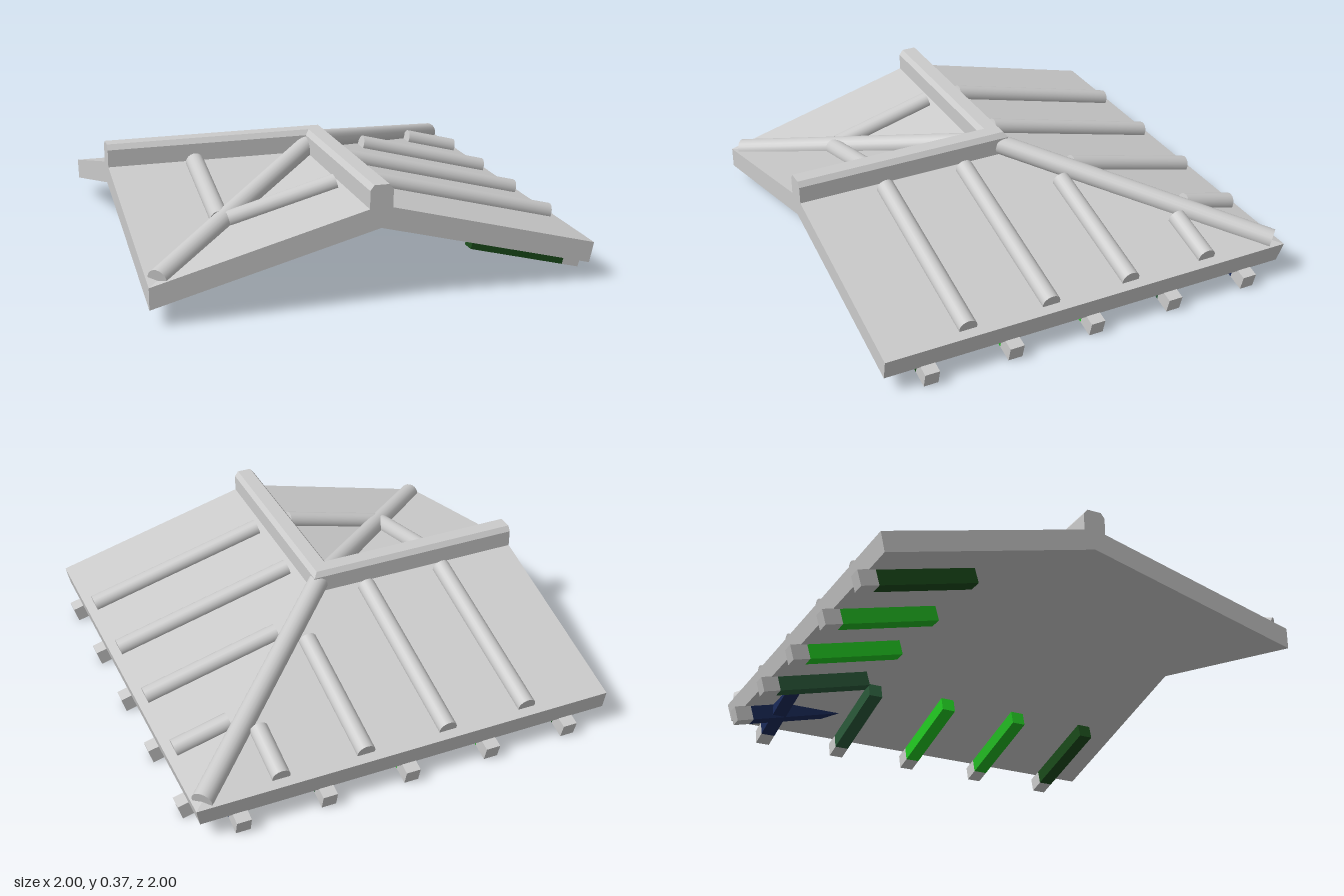
import * as THREE from 'three';

const grey = new THREE.MeshStandardMaterial({ color: 0xcccccc });
const tint = (color) => new THREE.MeshStandardMaterial({ color });

// Plan coordinates: s runs along a ridge, a runs down the slope (a < 0 = front slope)
const at = (side, s, a, y) => new THREE.Vector3(side * (s + a) / 2, y, (s - a) / 2);
const topY = (a) => 0.311 - 0.186 * Math.abs(a);
const underY = (a) => 0.24 - 0.184 * Math.abs(a);

// Convex solid between two matching loops, every face turned outward
function loft(loopA, loopB) {
  const n = loopA.length;
  const centre = new THREE.Vector3();
  [...loopA, ...loopB].forEach((p) => centre.addScaledVector(p, 0.5 / n));
  const pos = [];
  const tri = (p, q, r) => {
    const normal = q.clone().sub(p).cross(r.clone().sub(p));
    const outward = normal.dot(p.clone().sub(centre)) > 0;
    for (const v of outward ? [p, q, r] : [p, r, q]) pos.push(v.x, v.y, v.z);
  };
  for (let i = 0; i < n; i++) {
    const j = (i + 1) % n;
    tri(loopA[i], loopA[j], loopB[j]);
    tri(loopA[i], loopB[j], loopB[i]);
    if (i > 0 && i < n - 1) {
      tri(loopA[0], loopA[i], loopA[i + 1]);
      tri(loopB[0], loopB[i], loopB[i + 1]);
    }
  }
  const g = new THREE.BufferGeometry();
  g.setAttribute('position', new THREE.Float32BufferAttribute(pos, 3));
  g.computeVertexNormals();
  return g;
}

// Round log between two points
function log(p, q, radius) {
  const dir = q.clone().sub(p);
  const g = new THREE.CylinderGeometry(radius, radius, dir.length(), 20);
  g.applyQuaternion(new THREE.Quaternion().setFromUnitVectors(new THREE.Vector3(0, 1, 0), dir.normalize()));
  const mid = p.clone().add(q).multiplyScalar(0.5);
  return g.translate(mid.x, mid.y, mid.z);
}

export function createModel() {
  const group = new THREE.Group();
  const add = (name, geometry, material = grey) => {
    const mesh = new THREE.Mesh(geometry, material);
    mesh.name = name;
    group.add(mesh);
  };

  // Logs along the hip (back) and valley (front)
  const v = (y, z) => new THREE.Vector3(0, y, z);
  add('hipLog', log(v(0.326, -0.02), v(0.135, -0.96), 0.034));
  add('valleyLog', log(v(0.326, 0.02), v(0.135, 0.955), 0.034));

  for (const side of [1, -1]) {
    const word = side > 0 ? 'left' : 'right';

    // Roof slabs: the back slope has a slanted eave, the front slope ends at the gable
    const slab = (top, under) => loft(
      top.map(([s, a]) => at(side, s, a, topY(a))),
      under.map(([s, a]) => at(side, s, a, underY(a))));
    add(word + 'BackSlope', slab([[1, 1], [1, 0], [0, 0], [-1, 1]], [[1, 0.98], [1, 0], [0, 0], [-0.98, 0.98]]));
    const front = [[1, 0], [1, -1], [0, 0]];
    add(word + 'FrontSlope', slab(front, front));

    // Ridge beam with chamfered top, mitred at the centre
    const profile = [[0.052, 0.28], [0.052, 0.358], [0.034, 0.375], [-0.034, 0.375], [-0.052, 0.358], [-0.052, 0.28]];
    add(word + 'RidgeBeam', loft(
      profile.map(([a, y]) => at(side, -a, a, y)),
      profile.map(([a, y]) => at(side, 1, a, y))));

    // Logs running down the slopes: [s, upper a, lower a]
    const logs = [[-0.6, 0.7, 0.96], [-0.2, 0.31, 0.96], [0.2, 0.09, 0.96], [0.6, 0.09, 0.96], [0.6, -0.08, -0.57]];
    for (const [s, a0, a1] of logs) {
      add(word + 'SlopeLog', log(at(side, s, a0, topY(a0) + 0.008), at(side, s, a1, topY(a1) + 0.008), 0.03));
    }

    // Rafters under the eave: coloured body with a grey tip
    const colors = [0x1a2a5a, 0x2a5a3a, 0x22cc22, 0x22bb22, 0x1a4a1a];
    colors.forEach((color, i) => {
      const s = -0.8 + 0.4 * i, w = 0.034;
      const section = (a, shift) => [[-w, 0], [w, 0], [w, -0.05], [-w, -0.05]].map(
        ([ds, dy]) => at(side, s + ds, a + (dy < 0 ? shift : 0), underY(a) + 0.002 + dy));
      add(word + 'Rafter', loft(section(0.5, -0.02), section(0.95, -0.02)), tint(color));
      add(word + 'RafterTip', loft(section(0.95, -0.02), section(1.03, -0.02)));
    });
  }
  return group;
}
